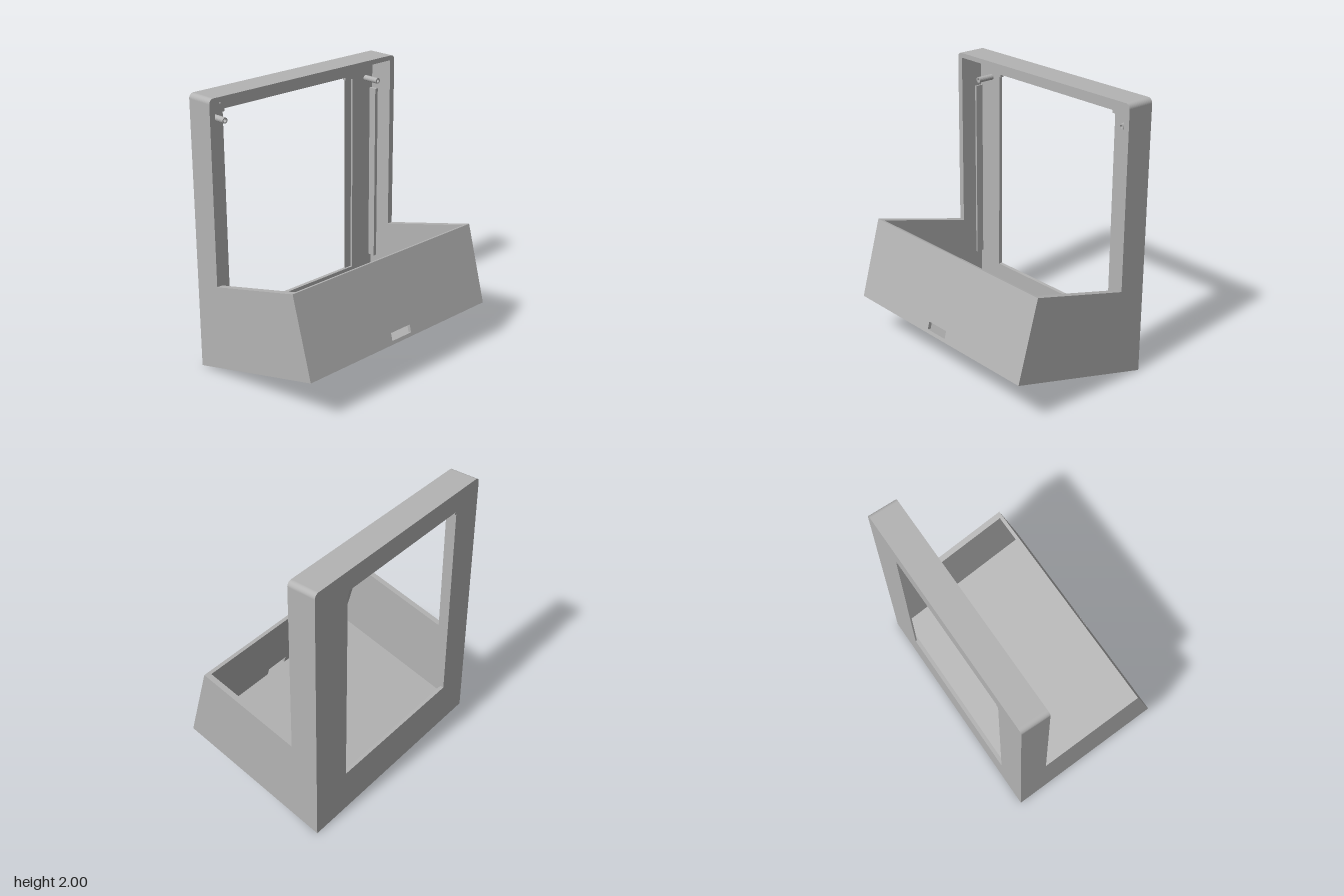
import * as THREE from 'three';

export function createModel() {
  const root = new THREE.Group();
  const grey = new THREE.MeshStandardMaterial({ color: 0xb4b4b4 });
  grey.name = 'plainGrey';

  const add = (name, geo, x = 0, y = 0, z = 0) => {
    const m = new THREE.Mesh(geo, grey);
    m.name = name;
    m.position.set(x, y, z);
    root.add(m);
    return m;
  };
  const poly = pts => new THREE.Shape(pts.map(p => new THREE.Vector2(...p)));
  const rect = (x0, y0, x1, y1) => poly([[x0, y0], [x1, y0], [x1, y1], [x0, y1]]);
  const extrude = (shape, depth) =>
    new THREE.ExtrudeGeometry(shape, { depth, bevelEnabled: false, curveSegments: 8 });
  // Extrudes a (z, y) profile along x, centred on x
  const across = (pts, width) =>
    extrude(poly(pts), width).rotateY(-Math.PI / 2).translate(width / 2, 0, 0);

  const W = 0.86, IN = 0.817, BACK = -0.57, RIM = -0.36, STEP = 0.68;

  // Upper rim: an arch with rounded outer corners
  const r = 0.035, arch = new THREE.Shape();
  arch.moveTo(-W, STEP);
  arch.lineTo(-IN, STEP);
  arch.lineTo(-IN, 1.965);
  arch.lineTo(IN, 1.965);
  arch.lineTo(IN, STEP);
  arch.lineTo(W, STEP);
  arch.lineTo(W, 2 - r);
  arch.absarc(W - r, 2 - r, r, 0, Math.PI / 2);
  arch.lineTo(-W + r, 2);
  arch.absarc(-W + r, 2 - r, r, Math.PI / 2, Math.PI);
  arch.lineTo(-W, STEP);
  add('upperRim', extrude(arch, RIM - BACK), 0, 0, BACK);

  // Slanted lower side walls
  const side = [[BACK, 0], [0.57, 0.31], [0.41, 0.885], [RIM, STEP], [BACK, STEP]];
  for (const s of [-1, 1])
    add(s > 0 ? 'leftWall' : 'rightWall', across(side, W - IN), s * (W + IN) / 2);

  // Sloping floor
  add('floor', across([[BACK, 0], [0.57, 0.31], [0.563, 0.335], [BACK, 0.025]], IN * 2));

  // Tilted front wall with cable slot
  const front = rect(-IN, 0, IN, 0.597);
  front.holes.push(rect(-0.095, 0.026, 0.092, 0.083));
  add('frontWall', extrude(front, 0.025).translate(0, 0, -0.025), 0, 0.31, 0.57)
    .rotation.x = -Math.atan2(0.16, 0.575);

  // Back skin with notched opening, and inner layer with a wider opening
  const skin = rect(-IN, 0.01, IN, 1.965);
  skin.holes.push(poly([[-0.61, 0.325], [0.55, 0.325], [0.55, 1.83], [0.54, 1.83],
    [0.54, 1.85], [-0.595, 1.85], [-0.595, 1.83], [-0.61, 1.83]]));
  add('backPanel', extrude(skin, 0.012), 0, 0, BACK);
  const layer = rect(-IN, 0.03, IN, 1.965);
  layer.holes.push(poly([[-0.61, 0.325], [0.61, 0.325], [0.61, 1.83], [0.54, 1.83],
    [0.54, 1.85], [-0.595, 1.85], [-0.595, 1.83], [-0.61, 1.83]]));
  add('backPanelLayer', extrude(layer, 0.016), 0, 0, BACK + 0.012);

  // Side ribs, top rib and two hollow mounting posts
  add('leftRib', new THREE.BoxGeometry(0.027, 1.35, 0.06), 0.804, 1.055, -0.513);
  add('rightRib', new THREE.BoxGeometry(0.015, 1.35, 0.06), -0.81, 1.055, -0.513);
  add('topRib', new THREE.BoxGeometry(0.89, 0.025, 0.02), -0.195, 1.907, -0.533);
  for (const x of [-0.695, 0.745]) {
    const ring = new THREE.Shape().absarc(0, 0, 0.021, 0, Math.PI * 2);
    ring.holes.push(new THREE.Path().absarc(0, 0, 0.012, 0, Math.PI * 2, true));
    add('mountingPost', extrude(ring, 0.13), x, 1.813, -0.543);
  }
  return root;
}
